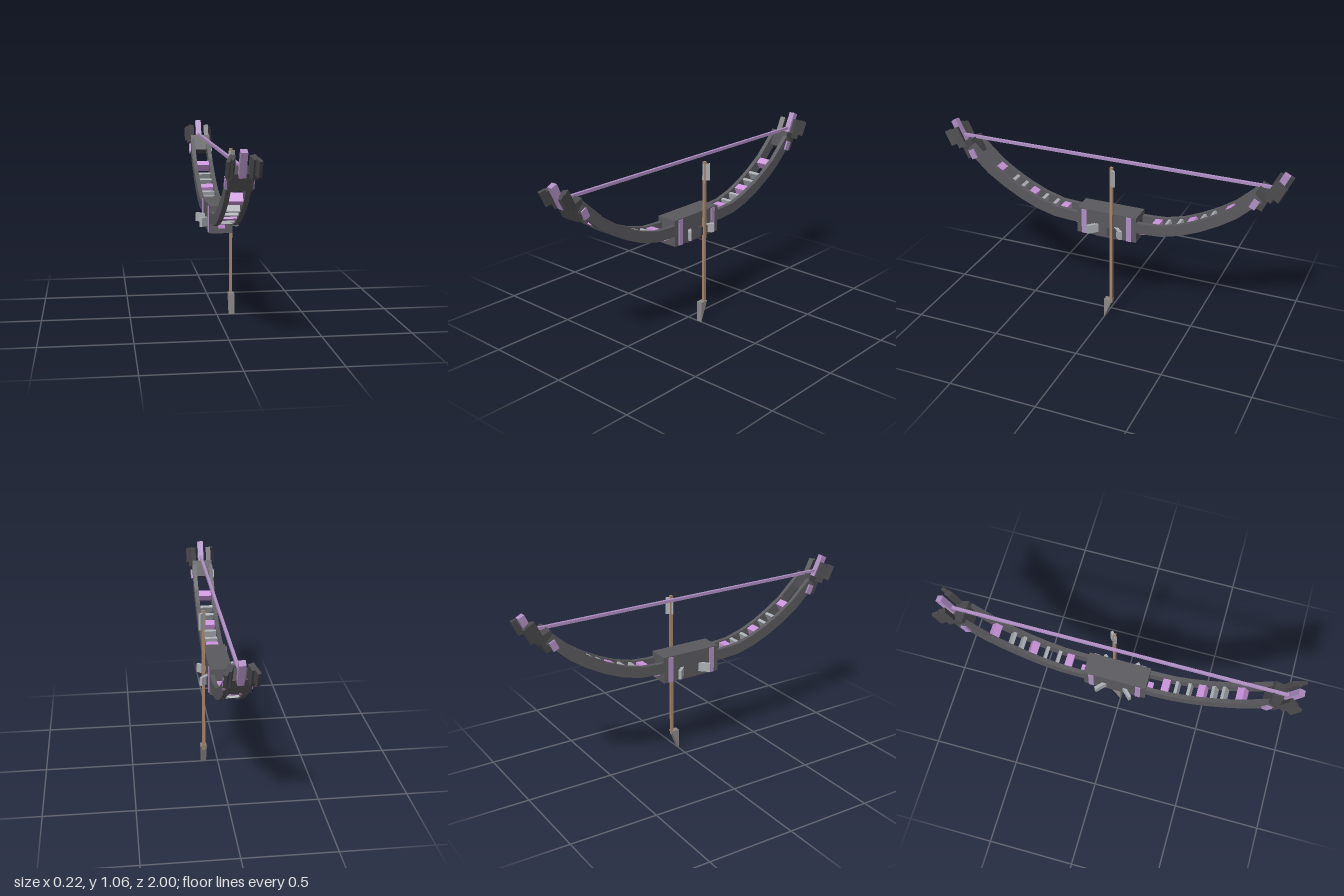
import * as THREE from 'three';

const mat = (name, color) => {
  const m = new THREE.MeshStandardMaterial({ color });
  m.name = name;
  return m;
};

export function createModel() {
  const grey = mat('gunmetal', 0x5a595e);
  const dark = mat('dark metal', 0x48474b);
  const steel = mat('steel', 0xabb0b6);
  const headMetal = mat('arrowhead metal', 0x8c8987);
  const orchid = mat('orchid', 0xcb94db);
  const lavender = mat('lavender', 0xb08fc4);
  const plum = mat('dark plum', 0x43334f);
  const wood = mat('wood', 0xa5846a);

  const model = new THREE.Group();
  model.name = 'bow and arrow';

  const box = (parent, name, m, size, pos, rot = [0, 0, 0], order = 'XYZ') => {
    const b = new THREE.Mesh(new THREE.BoxGeometry(...size), m);
    b.name = name;
    b.position.set(...pos);
    b.rotation.set(rot[0], rot[1], rot[2], order);
    parent.add(b);
    return b;
  };

  // Prism from a side outline given as [z, y], centred on x = 0
  const sidePrism = (parent, name, m, outline, width, x) => {
    const shape = new THREE.Shape(outline.map(([z, y]) => new THREE.Vector2(z, y)));
    const g = new THREE.ExtrudeGeometry(shape, { depth: width, bevelEnabled: false });
    g.translate(0, 0, -width / 2);
    g.rotateY(-Math.PI / 2);
    const p = new THREE.Mesh(g, m);
    p.name = name;
    p.position.x = x;
    parent.add(p);
  };

  // Centre line of a limb in [z, y]
  const path = [[0.14, 0.605], [0.22, 0.605], [0.32, 0.612], [0.43, 0.642], [0.53, 0.685],
    [0.63, 0.74], [0.72, 0.80], [0.79, 0.865], [0.85, 0.92]];
  const slopeAt = (i) => {
    const a = path[Math.max(i - 1, 0)], b = path[Math.min(i + 1, path.length - 1)];
    return Math.atan2(b[1] - a[1], b[0] - a[0]);
  };
  const onPath = (z) => {
    let i = 0;
    while (z > path[i + 1][0]) i++;
    const [a, b] = [path[i], path[i + 1]];
    return {
      y: a[1] + (b[1] - a[1]) * (z - a[0]) / (b[0] - a[0]),
      angle: Math.atan2(b[1] - a[1], b[0] - a[0]),
    };
  };
  const offset = (h) => path.map(([z, y], i) => {
    const s = slopeAt(i);
    return [z - Math.sin(s) * h, y + Math.cos(s) * h];
  });
  const railOutline = [...offset(-0.031), ...offset(0.031).reverse()];

  const makeLimb = (name) => {
    const limb = new THREE.Group();
    limb.name = name;
    for (const s of [-1, 1]) sidePrism(limb, 'limbRail', grey, railOutline, 0.025, s * 0.05);

    // Cross pieces between the rails
    for (const z of [0.28, 0.485, 0.695]) {
      const { y, angle } = onPath(z);
      box(limb, 'colouredCrossBlock', orchid, [0.076, 0.048, 0.042], [0, y, z], [-angle, 0, 0]);
    }
    for (const z of [0.345, 0.415, 0.55, 0.605]) {
      const { y, angle } = onPath(z);
      box(limb, 'crossSlat', steel, [0.09, 0.05, 0.018], [0, y, z], [-angle, 0, 0]);
    }

    // Bridge block and its side tabs
    const tilt = 0.45;
    box(limb, 'bridgeBlock', dark, [0.12, 0.098, 0.077], [0, 0.905, 0.855], [tilt, 0, 0]);
    for (const s of [-1, 1]) {
      box(limb, 'sideTab', lavender, [0.016, 0.055, 0.035], [s * 0.064, 0.882, 0.83], [tilt, 0, 0]);
      // Staggered flared horns at the tip
      box(limb, 'innerHorn', dark, [0.03, 0.115, 0.046], [s * 0.054, 0.965, 0.925], [tilt, s * 0.35, 0]);
      box(limb, 'outerHorn', dark, [0.018, 0.09, 0.038], [s * 0.072, 0.967, 0.962], [tilt, s * 0.4, 0]);
    }
    box(limb, 'stringPost', lavender, [0.034, 0.14, 0.036], [0, 0.985, 0.945], [tilt, 0, 0]);

    // Small block under the root of the limb
    box(limb, 'rootBlock', orchid, [0.034, 0.032, 0.04], [0, 0.561, 0.19]);
    model.add(limb);
    return limb;
  };
  makeLimb('frontLimb');
  makeLimb('backLimb').rotation.y = Math.PI;

  // Grip
  const grip = new THREE.Group();
  grip.name = 'grip';
  model.add(grip);
  box(grip, 'gripBody', grey, [0.126, 0.153, 0.356], [0, 0.589, 0]);
  box(grip, 'gripBase', plum, [0.11, 0.014, 0.14], [0, 0.509, 0]);
  for (const z of [-0.135, 0.135])
    for (const s of [-1, 1])
      box(grip, 'gripStripe', lavender, [0.008, 0.148, 0.03], [s * 0.064, 0.587, z]);
  for (const sx of [-1, 1])
    for (const sz of [-1, 1])
      box(grip, 'gripFin', steel, [0.075, 0.05, 0.018], [sx * 0.078, 0.561, sz * 0.075],
        [0, -sx * sz * Math.PI / 4, 0]);
  box(grip, 'arrowRest', dark, [0.024, 0.05, 0.07], [0.072, 0.555, -0.045]);

  // String
  box(model, 'bowString', lavender, [0.016, 0.016, 1.86], [0, 0.965, 0]);

  // Arrow pointing down beside the grip
  const arrow = new THREE.Group();
  arrow.name = 'arrow';
  model.add(arrow);
  box(arrow, 'arrowShaft', wood, [0.017, 0.86, 0.016], [0.085, 0.53, -0.04]);
  box(arrow, 'fletching', steel, [0.042, 0.095, 0.014], [0.091, 0.9, -0.046], [0, Math.PI / 4, 0]);
  sidePrism(arrow, 'arrowHead', headMetal, [[0, 0], [0, 0.122], [-0.05, 0.122]], 0.034, 0.085);

  return model;
}
